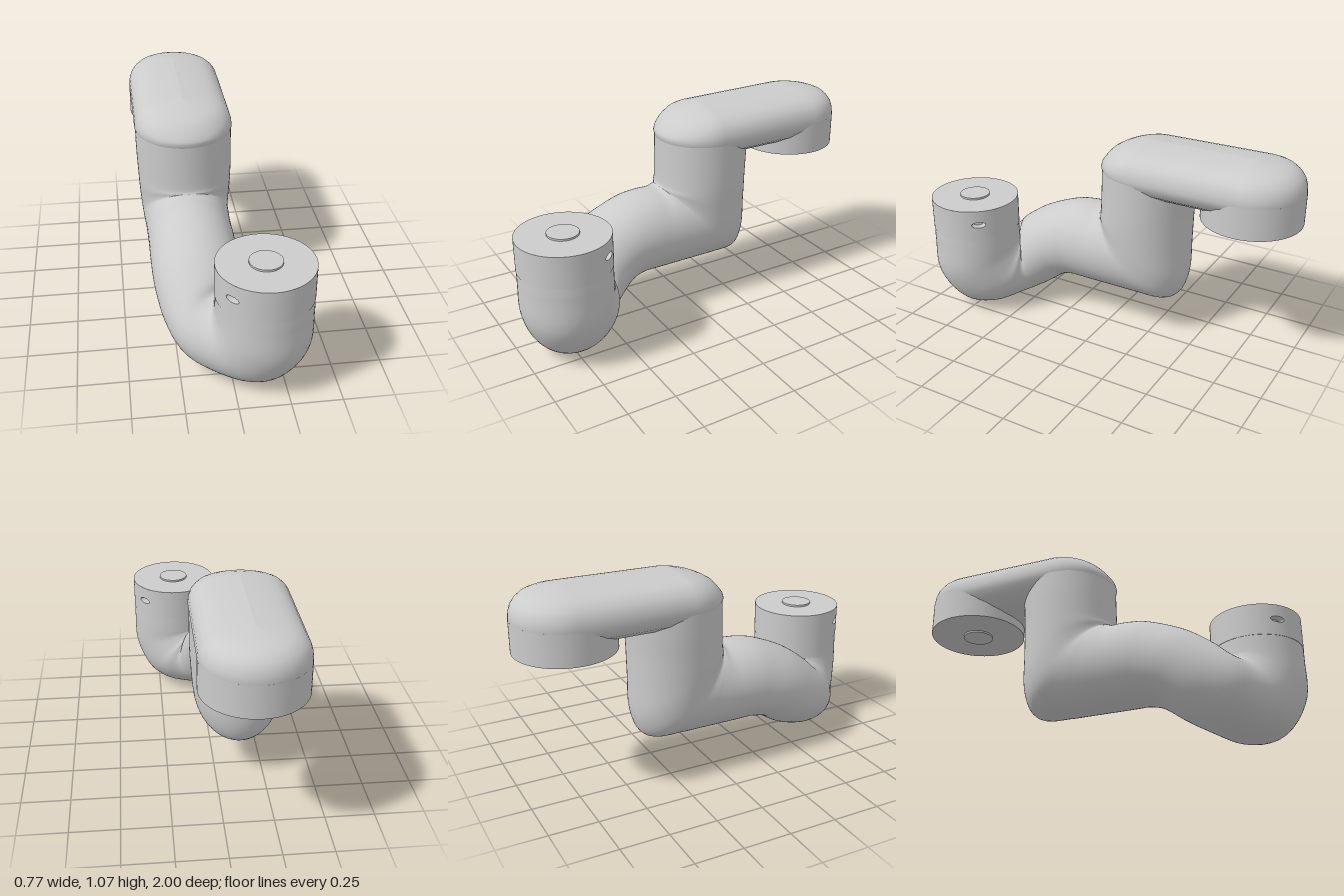
import * as THREE from 'three';

const material = new THREE.MeshStandardMaterial({ color: 0xcccccc });
const V = (x, y, z) => new THREE.Vector3(x, y, z);
const N = 64;

function addMesh(parent, geometry, name, x = 0, y = 0, z = 0) {
  const mesh = new THREE.Mesh(geometry, material);
  mesh.name = name;
  mesh.position.set(x, y, z);
  parent.add(mesh);
  return mesh;
}

// Skin over a list of closed rings with N points each
function loft(rings) {
  const index = [];
  for (let i = 0; i < rings.length - 1; i++) {
    for (let j = 0; j < N; j++) {
      const k = (j + 1) % N;
      const p = i * N + j, q = i * N + k, r = p + N, s = q + N;
      index.push(p, r, q, q, r, s);
    }
  }
  const geometry = new THREE.BufferGeometry().setFromPoints(rings.flat());
  geometry.setIndex(index);
  geometry.computeVertexNormals();
  return geometry;
}

const ring = (fn) => Array.from({ length: N }, (_, j) => fn(((j + 0.5) / N) * Math.PI * 2));

// Bent tube: centre x, y, z, yaw, pitch of the section, half height, half width
const sections = [
  [0.15, 0.5, 0.765, 49, 0, 0.234, 0.234],
  [0.15, 0.42, 0.765, 49, 0, 0.235, 0.235],
  [0.144, 0.326, 0.763, 49, 22, 0.25, 0.235],
  [0.103, 0.243, 0.727, 49, 45, 0.25, 0.235],
  [0.04, 0.216, 0.677, 46, 65, 0.225, 0.235],
  [-0.05, 0.23, 0.615, 35, 90, 0.195, 0.235],
  [-0.093, 0.285, 0.53, 20, 110, 0.2, 0.23],
  [-0.122, 0.365, 0.41, 8, 112, 0.202, 0.225],
  [-0.13, 0.412, 0.28, 0, 100, 0.215, 0.222],
  [-0.13, 0.4225, 0.2, 0, 90, 0.2225, 0.222],
  [-0.13, 0.4225, 0.11, 0, 90, 0.2225, 0.222],
  [-0.13, 0.4275, -0.002, 0, 112, 0.245, 0.224],
  [-0.13, 0.4285, -0.057, 0, 123, 0.27, 0.227],
  [-0.13, 0.436, -0.129, 0, 135, 0.31, 0.231],
  [-0.13, 0.494, -0.157, 0, 147, 0.295, 0.238],
  [-0.13, 0.588, -0.16, 0, 165, 0.258, 0.245],
  [-0.13, 0.68, -0.165, 0, 180, 0.247, 0.249],
  [-0.132, 0.8, -0.17, 0, 180, 0.248, 0.252],
  [-0.132, 0.92, -0.175, 0, 180, 0.25, 0.253],
];

function tubeGeometry() {
  const centres = [], heights = [], widths = [];
  for (const [x, y, z, yawDeg, pitchDeg, h, w] of sections) {
    const yaw = THREE.MathUtils.degToRad(yawDeg), pitch = THREE.MathUtils.degToRad(pitchDeg);
    const heading = V(-Math.sin(yaw), 0, -Math.cos(yaw));
    centres.push(V(x, y, z));
    heights.push(heading.multiplyScalar(-Math.cos(pitch)).add(V(0, -Math.sin(pitch), 0)).multiplyScalar(h));
    widths.push(V(Math.cos(yaw) * w, 0, -Math.sin(yaw) * w));
  }
  const [c, a, b] = [centres, heights, widths].map(
    (points) => new THREE.CatmullRomCurve3(points, false, 'catmullrom', 0.5));
  const steps = (sections.length - 1) * 5;
  const rings = [];
  for (let i = 0; i <= steps; i++) {
    const t = i / steps, centre = c.getPoint(t), up = a.getPoint(t), side = b.getPoint(t);
    rings.push(ring((o) => centre.clone().addScaledVector(up, Math.cos(o)).addScaledVector(side, Math.sin(o))));
  }
  return loft(rings);
}

// Pillow with a stadium plan: inset of the outline against height
function upperArmGeometry() {
  const profile = [
    [0.257, 0.81], [0.15, 0.814], [0.085, 0.833], [0.035, 0.865], [0.008, 0.9], [0, 0.93], [0.004, 0.965],
    [0.014, 0.995], [0.03, 1.018], [0.055, 1.04], [0.085, 1.053], [0.12, 1.063], [0.18, 1.073], [0.257, 1.079],
  ];
  return loft(profile.map(([inset, y]) => ring((o) => {
    const r = 0.257 - inset;
    const z = (Math.sin(o) > 0 ? -0.177 : -0.743) + r * Math.sin(o);
    // The top slopes down a little towards the front
    const slope = y > 0.93 ? Math.max(0, (z + 0.3) / 0.38) ** 2 * Math.min(0.045, (y - 0.93) * 0.6) : 0;
    return V(-0.132 + r * Math.cos(o), y - slope, z);
  })));
}

// Round collar with two opposite oval pockets in its wall
function addCollar(parent) {
  const collar = new THREE.Group();
  collar.name = 'frontCollar';
  collar.position.set(0.15, 0.585, 0.765);
  parent.add(collar);
  const R = 0.236, half = 0.085, spread = 0.35;
  const onWall = (u, v, r) => V(r * Math.sin(u), v, r * Math.cos(u));
  const oval = (scale, r) => ring((o) => onWall(0.16 * scale * Math.cos(o), 0.005 + 0.016 * scale * Math.sin(-o), r));
  const patch = [];
  for (let i = 0; i <= 6; i++) {
    patch.push(ring((q) => {
      // Shift by half a step so that the corners of the patch fall on points
      const o = q - Math.PI / N, c = Math.cos(o), s = Math.sin(-o), m = Math.max(Math.abs(c), Math.abs(s));
      const k = i / 6;
      return onWall(THREE.MathUtils.lerp(spread * c / m, 0.16 * c, k),
        THREE.MathUtils.lerp(half * s / m, 0.005 + 0.016 * s, k), R);
    }));
  }
  for (const angle of [-49, 131]) {
    const turn = THREE.MathUtils.degToRad(angle);
    addMesh(collar, new THREE.CylinderGeometry(R, R, half * 2, 40, 1, true, turn + spread, Math.PI - 2 * spread), 'collarWall');
    addMesh(collar, loft(patch), 'pocketSurround').rotation.y = turn;
    addMesh(collar, loft([oval(1, R), oval(1, R - 0.04)]), 'pocketWall').rotation.y = turn;
    addMesh(collar, loft([oval(1, R - 0.04), oval(0, R - 0.04)]), 'pocketFloor').rotation.y = turn;
  }
  const face = new THREE.CircleGeometry(R, 80);
  addMesh(collar, face, 'collarTop', 0, half, 0).rotation.x = -Math.PI / 2;
  addMesh(collar, face, 'collarBase', 0, -half, 0).rotation.x = Math.PI / 2;
  addMesh(collar, new THREE.CylinderGeometry(0.08, 0.08, 0.02, 48), 'frontBoss', 0, half, 0);
}

export function createModel() {
  const model = new THREE.Group();
  model.name = 'armLink';
  addMesh(model, tubeGeometry(), 'bentTube');
  addMesh(model, upperArmGeometry(), 'upperArm');
  addCollar(model);

  // Downward facing rear joint
  addMesh(model, new THREE.CylinderGeometry(0.257, 0.257, 0.165, 80), 'rearJoint', -0.132, 0.8475, -0.743);
  addMesh(model, new THREE.CylinderGeometry(0.08, 0.08, 0.02, 48), 'rearBoss', -0.132, 0.765, -0.743);
  return model;
}
